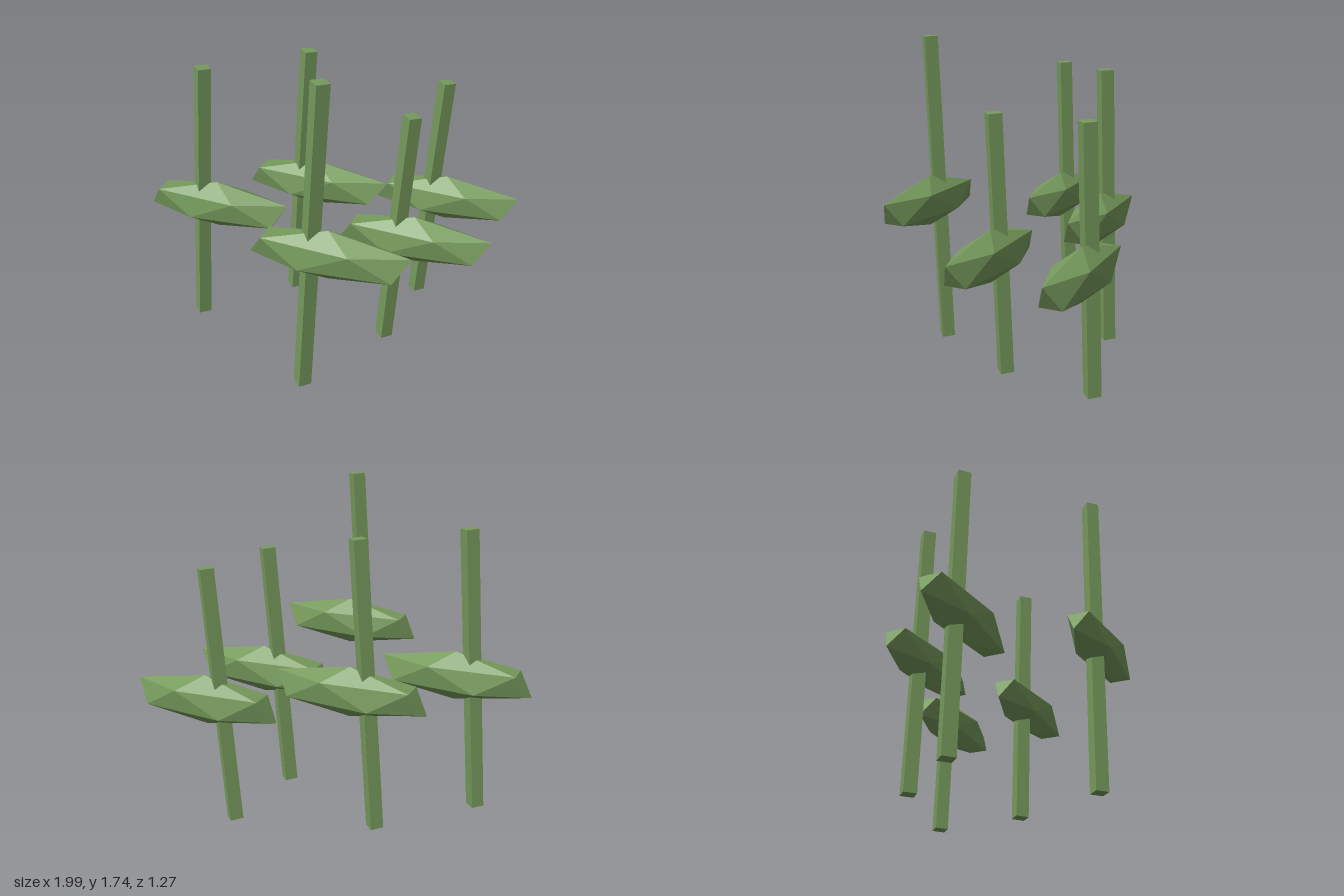
import * as THREE from 'three';

// Faceted look: every triangle gets its own normal
function facet(geometry) {
  const g = geometry.index ? geometry.toNonIndexed() : geometry;
  g.computeVertexNormals();
  return g;
}

// Long icosahedron, one corner straight up and one upper-ring corner toward +x
function leafGeometry() {
  const t = (1 + Math.sqrt(5)) / 2;
  const g = new THREE.IcosahedronGeometry(1, 0);
  g.rotateX(-Math.atan(t));
  g.rotateY(Math.PI / 2);
  g.scale(0.467, 0.137, 0.112);
  return facet(g);
}

// Four-sided stem leaning toward +x, with its foot at y = 0
function stemGeometry(height) {
  const lean = 0.104;
  const g = new THREE.CylinderGeometry(0.05, 0.05, Math.hypot(height - 0.006, lean), 4);
  g.rotateZ(-Math.atan(lean / height));
  g.translate(0, height / 2, 0);
  return facet(g);
}

export function createModel() {
  const model = new THREE.Group();
  model.name = 'grassClump';
  const green = new THREE.MeshStandardMaterial({ color: 0x769a5c });
  green.name = 'leafGreen';
  const leafShape = leafGeometry();

  // leaf centre x, y, z and stem height
  const plants = [
    [-0.582, 0.755, 0.12, 1.56],
    [-0.157, 0.755, -0.32, 1.56],
    [0.22, 0.838, 0.537, 1.735],
    [0.513, 0.672, -0.015, 1.39],
    [0.573, 0.672, -0.54, 1.39],
  ];
  plants.forEach(([x, y, z, height], i) => {
    const plant = new THREE.Group();
    plant.name = 'plant' + (i + 1);
    plant.position.set(x, 0, z);

    const leaf = new THREE.Mesh(leafShape, green);
    leaf.name = 'leaf';
    leaf.position.y = y;

    const stem = new THREE.Mesh(stemGeometry(height), green);
    stem.name = 'stem';
    stem.position.x = -0.093;

    plant.add(leaf, stem);
    model.add(plant);
  });
  return model;
}
